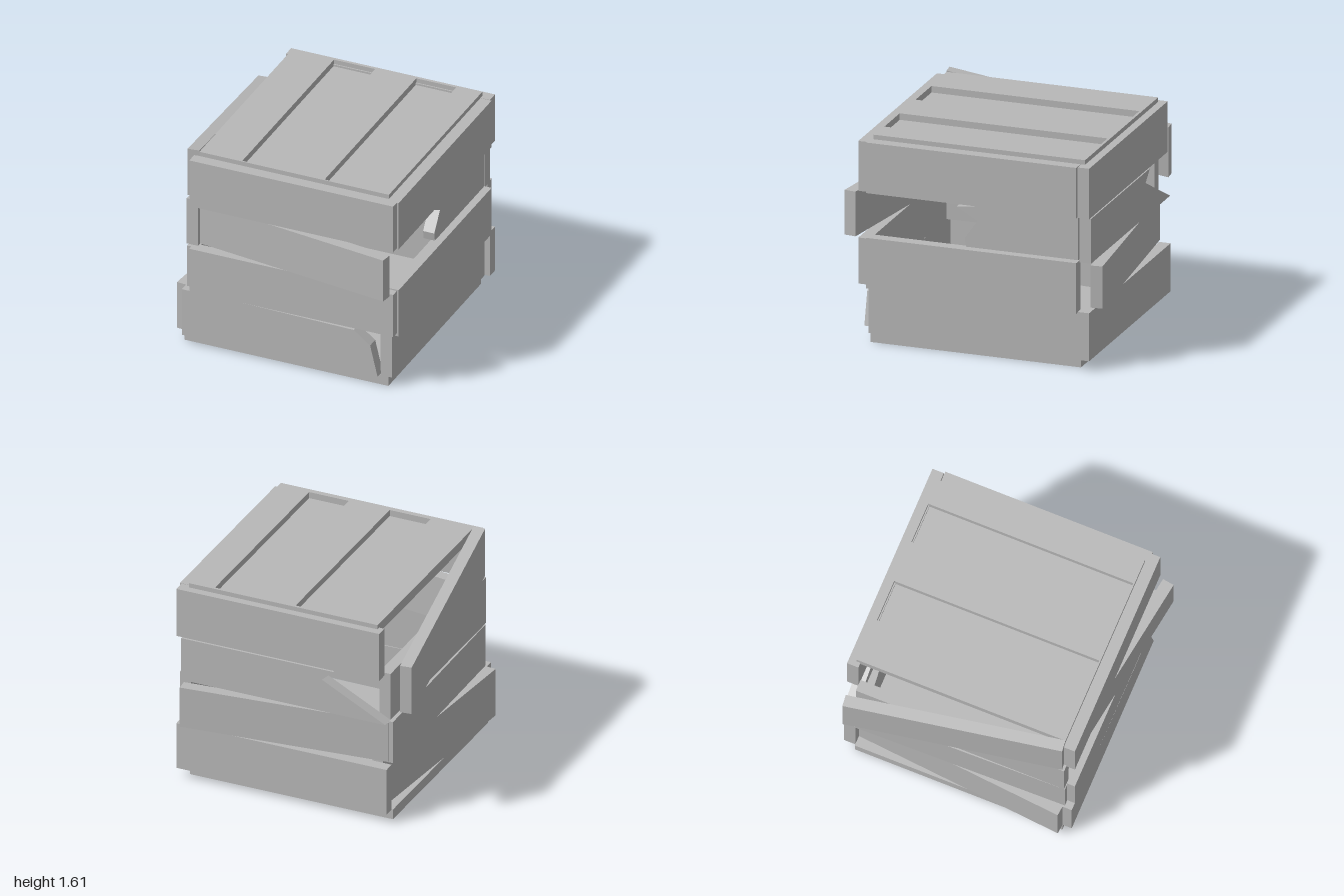
import * as THREE from 'three';

const wood = new THREE.MeshStandardMaterial({ color: 0xb8b8b8 });
wood.name = 'plain grey wood';
const T = 0.09; // plank thickness

const toShape = (pts) => new THREE.Shape(pts.map(([x, y]) => new THREE.Vector2(x, y)));

// Upright plank whose outer face runs from a to b (x, z), counter-clockwise seen
// from above. The outline holds (distance along, height) points.
function plank(name, a, b, outline, t = T) {
  const dx = b[0] - a[0], dz = b[1] - a[1];
  const geometry = new THREE.ExtrudeGeometry(toShape(outline), { depth: t, bevelEnabled: false });
  geometry.translate(0, 0, -t);
  const mesh = new THREE.Mesh(geometry, wood);
  mesh.name = name;
  mesh.position.set(a[0], 0, a[1]);
  mesh.rotation.y = Math.atan2(-dz, dx);
  return mesh;
}

// Whole plank between heights y0 and y1
function board(name, a, b, y0, y1, t = T) {
  const l = Math.hypot(b[0] - a[0], b[1] - a[1]);
  return plank(name, a, b, [[0, y0], [l, y0], [l, y1], [0, y1]], t);
}

function box(name, x0, x1, y0, y1, z0, z1) {
  const mesh = new THREE.Mesh(new THREE.BoxGeometry(x1 - x0, y1 - y0, z1 - z0), wood);
  mesh.name = name;
  mesh.position.set((x0 + x1) / 2, (y0 + y1) / 2, (z0 + z1) / 2);
  return mesh;
}

export function createModel() {
  const crate = new THREE.Group();
  crate.name = 'brokenCrate';

  // Base and lid, the lid with two sunken strips
  crate.add(box('base', -0.78, 0.855, 0, 0.08, -0.83, 0.81));
  const rect = (x0, x1, z0, z1) => [[x0, -z1], [x1, -z1], [x1, -z0], [x0, -z0]];
  const lidShape = toShape(rect(-0.67, 0.85, -0.86, 0.79));
  for (const [x0, x1] of [[-0.33, 0], [0.33, 0.65]]) {
    lidShape.holes.push(toShape(rect(x0, x1, -0.84, 0.78)));
  }
  const lid = new THREE.Mesh(
    new THREE.ExtrudeGeometry(lidShape, { depth: 0.06, bevelEnabled: false }), wood);
  lid.name = 'lidSlats';
  lid.rotation.x = -Math.PI / 2;
  lid.position.y = 1.54;
  crate.add(lid, box('lidPanel', -0.66, 0.84, 1.51, 1.55, -0.85, 0.785));

  // Front planks: the second swings outward, the lowest has a snapped corner
  crate.add(
    board('frontPlankTop', [-0.71, 0.88], [0.925, 0.88], 1.18, 1.565),
    board('frontPlankLoose', [-0.74, 0.765], [0.897, 0.997], 0.82, 1.165),
    board('frontPlankThird', [-0.71, 0.88], [0.925, 0.88], 0.465, 0.82),
    plank('frontPlankSnapped', [-0.77, 0.88], [0.8, 0.88],
      [[0, 0.08], [1.57, 0.1], [1.51, 0.35], [1.38, 0.45], [0.47, 0.465], [0, 0.465]]),
  );

  // Planks on the +x side: the second has lost its front half
  const sideA = 0.815, sideB = -0.825;
  const along = (z) => sideA - z;
  crate.add(
    board('leftPlankTop', [0.94, sideA], [0.94, sideB], 1.175, 1.565),
    plank('leftPlankSnapped', [0.885, sideA], [0.885, sideB],
      [[0.055, 0.835], [-0.82, 0.835], [-0.82, 1.17], [-0.15, 1.17], [0.13, 1.135],
        [-0.035, 1.045], [0.065, 0.9]].map(([z, y]) => [along(z), y])),
    board('leftPlankThird', [0.94, sideA], [0.94, sideB], 0.44, 0.83),
    board('leftPlankBottom', [0.885, sideA], [0.885, sideB], 0.08, 0.44),
  );

  // Back planks: the second is split at one end, the third swings outward
  crate.add(
    board('backPlankTop', [0.925, -0.92], [-0.71, -0.92], 1.175, 1.565),
    plank('backPlankSplit', [0.885, -0.92], [-0.76, -0.92],
      [[0, 0.82], [1.645, 0.82], [1.135, 1.08], [1.225, 1.165], [0, 1.165]]),
    board('backPlankLoose', [0.86, -1], [-0.75, -0.845], 0.475, 0.8),
    board('backPlankBottom', [0.925, -0.92], [-0.77, -0.92], 0.08, 0.45),
  );

  // Planks on the -x side: the top one hangs down, the lowest swings outward
  crate.add(
    plank('rightPlankHanging', [-0.945, -0.86], [-0.76, 0.8],
      [[0, 0.925], [1.67, 1.22], [1.67, 1.61], [0, 1.31]]),
    board('rightPlankSecond', [-0.76, -0.83], [-0.76, 0.815], 0.82, 1.2),
    board('rightPlankThird', [-0.78, -0.83], [-0.755, 0.82], 0.465, 0.805),
    board('rightPlankBottom', [-0.70, -0.83], [-0.845, 0.8], 0.08, 0.465),
  );

  return crate;
}
